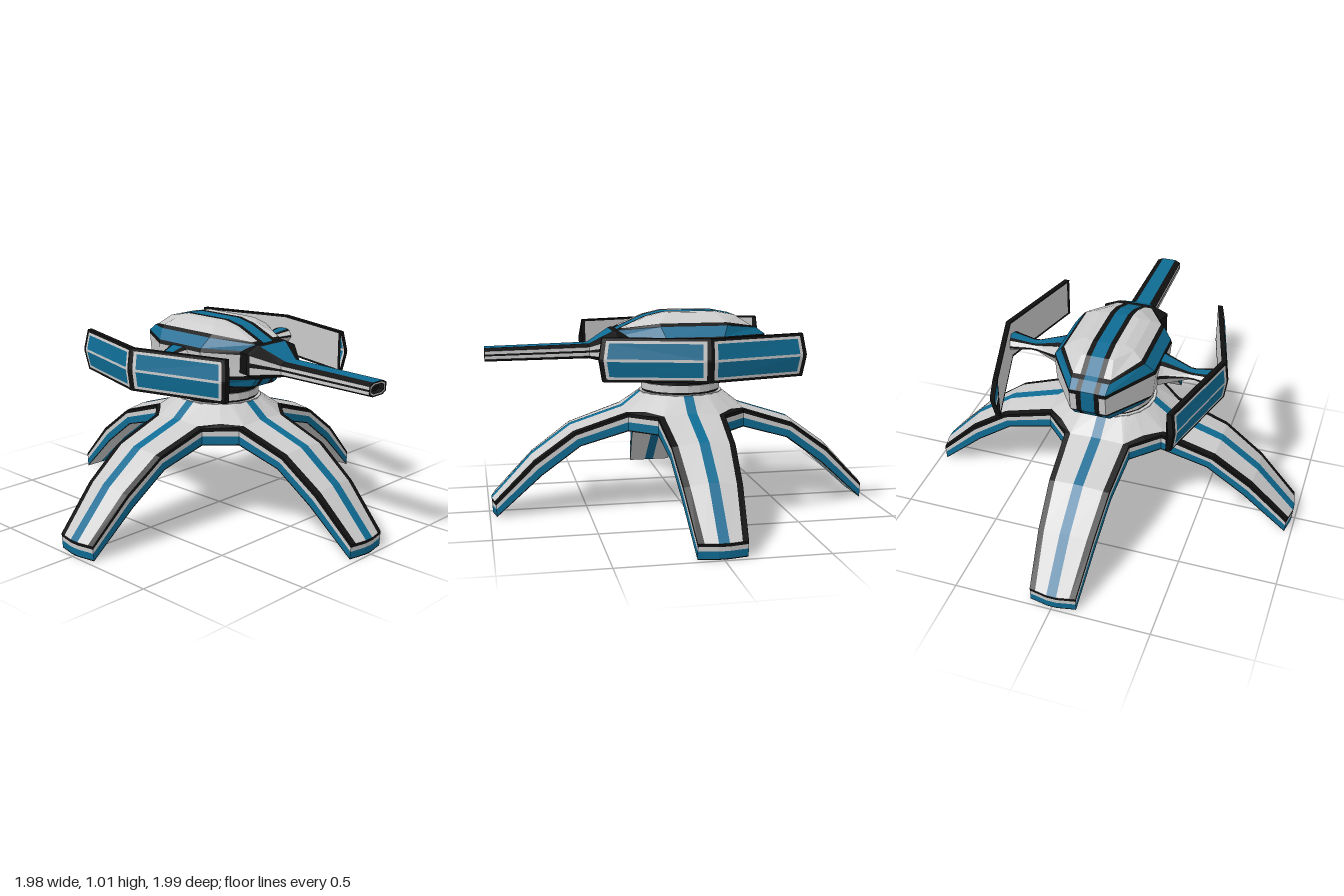
import * as THREE from 'three';

const GREY = 0xcccccc, BLUE = 0x0f6c94, BLACK = 0x111111;
const materials = {};
const mat = (c) => (materials[c] ??= new THREE.MeshStandardMaterial({ color: c, flatShading: true, side: THREE.DoubleSide }));
const lerp = THREE.MathUtils.lerp;
const colourNames = { [GREY]: 'Panels', [BLUE]: 'BlueBands', [BLACK]: 'BlackTrim' };

// Faceted surface through rows of points; colour(i, j) paints the cell between rows i, i+1 and columns j, j+1
function skin(name, rows, colour) {
  const cells = {};
  for (let i = 0; i < rows.length - 1; i++) {
    for (let j = 0; j < rows[i].length - 1; j++) {
      const a = rows[i][j], b = rows[i][j + 1], c = rows[i + 1][j + 1], d = rows[i + 1][j];
      (cells[colour(i, j)] ??= []).push(...a, ...b, ...c, ...a, ...c, ...d);
    }
  }
  const group = new THREE.Group();
  group.name = name;
  for (const key in cells) {
    const geo = new THREE.BufferGeometry();
    geo.setAttribute('position', new THREE.Float32BufferAttribute(cells[key], 3));
    geo.computeVertexNormals();
    const mesh = new THREE.Mesh(geo, mat(Number(key)));
    mesh.name = name + colourNames[key];
    group.add(mesh);
  }
  return group;
}
const close = (loop) => [...loop, loop[0]];

// Bands down the rim of the legs and hub
const BANDS = [0, 0.2, 0.48, 0.93, 1], BAND_COLOURS = [BLACK, GREY, BLUE, BLACK];

// One leg with its quarter of the hub, pointing along +x
function makeLeg() {
  const leg = new THREE.Group();
  // top radius, top edge y, crown, half width, bottom radius, bottom y, bow
  const stations = [
    [0.30, 0.52, 0.015, 0.17, 0.30, 0.43, 0.01],
    [0.57, 0.43, 0.018, 0.155, 0.54, 0.36, 0.01],
    [0.77, 0.285, 0.018, 0.14, 0.735, 0.215, 0.01],
    [0.97, 0.08, 0, 0.117, 0.965, 0.005, 0.018],
  ];
  const across = ([r, y, c, w, , , bow], t, rb, yb) =>
    [[-w, 0], [-w + 0.03, 0.3], [-0.025, 1], [0.025, 1], [w - 0.03, 0.3], [w, 0]]
      .map(([z, k]) => [lerp(r, rb, t) + bow * k, lerp(y + c * k, yb, t), z]);
  const section = (s) => {
    const [r, y, , w, rb, yb] = s;
    const down = BANDS.slice(1).map((t) => [lerp(r, rb, t), lerp(y, yb, t), w]);
    const up = [...BANDS].reverse().slice(0, -1).map((t) => [lerp(r, rb, t), lerp(y, yb, t), -w]);
    return close([...across(s, 0, rb, yb), ...down, [rb, yb, 0.025], [rb, yb, -0.025], ...up]);
  };
  const colours = [BLACK, GREY, BLUE, GREY, BLACK, ...BAND_COLOURS, GREY, BLUE, GREY, ...[...BAND_COLOURS].reverse()];
  leg.add(skin('legShell', stations.map(section), (i, j) => colours[j]));
  const tip = stations[3];
  leg.add(skin('footEnd', BANDS.map((t) => across(tip, t, tip[4], tip[5])), (i) => BAND_COLOURS[i]));

  // Hub shoulder from the turntable out to the leg root
  const root = across(stations[0], 0, 0.3, 0.43);
  const ring = [-45, -32, -26, -6.5, 6.5, 26, 32, 45].map((d) => {
    const a = THREE.MathUtils.degToRad(d);
    return [0.215 * Math.cos(a), 0.61, 0.215 * Math.sin(a)];
  });
  const inner = [[0.218, 0.535, -0.218], root[1], ...root.slice(1, 5), root[4], [0.218, 0.535, 0.218]];
  const outer = [[0.235, 0.52, -0.235], ...root, [0.235, 0.52, 0.235]];
  leg.add(skin('hubShoulder', [ring, inner], (i, j) => (j === 3 ? BLUE : GREY)));
  leg.add(skin('hubEdge', [inner, outer], (i, j) => (j === 3 ? BLUE : BLACK)));

  // Banded chamfer between neighbouring legs, and the flat underside
  const drop = (x, z) => BANDS.map((t) => [x, lerp(0.52, 0.43, t), z]);
  leg.add(skin('hubRim', [drop(0.17, 0.30), drop(0.30, 0.17)], (i, j) => BAND_COLOURS[j]));
  const under = [[0.235, 0.43, 0.235], [0.3, 0.43, 0.17], [0.3, 0.43, -0.17], [0.235, 0.43, -0.235]];
  leg.add(skin('hubUnderside', [under.map(() => [0, 0.43, 0]), under], () => GREY));
  return leg;
}

// Faceted body with a belt above and below, and a stripe around the middle
function makeBody() {
  const body = new THREE.Group();
  body.name = 'body';
  // end y, side y, side x, corner x, front z, side front z, side back z, back z
  const levels = [
    [0.68, 0.68, 0.12, 0.08, 0.18, 0.10, -0.15, -0.22],
    [0.705, 0.695, 0.18, 0.09, 0.29, 0.13, -0.19, -0.34],
    [0.72, 0.71, 0.20, 0.09, 0.31, 0.13, -0.19, -0.365],
    [0.76, 0.745, 0.235, 0.09, 0.34, 0.125, -0.18, -0.40],
    [0.78, 0.765, 0.25, 0.09, 0.35, 0.12, -0.175, -0.42],
    [0.88, 0.89, 0.262, 0.09, 0.36, 0.12, -0.17, -0.43],
    [0.90, 0.91, 0.255, 0.09, 0.355, 0.12, -0.175, -0.43],
    [0.935, 0.96, 0.215, 0.095, 0.335, 0.14, -0.2, -0.38],
    [0.945, 0.975, 0.197, 0.095, 0.315, 0.14, -0.2, -0.355],
    [1.0, 1.005, 0.15, 0.08, 0.19, 0.11, -0.17, -0.27],
    [1.02, 1.02, 0.10, 0.08, 0.1, 0.08, -0.15, -0.17],
  ];
  const half = ([ye, ys, xs, xa, zf, z1, z2, zb], front) =>
    [-xs, -xa, -0.058, -0.033, 0.033, 0.058, xa, xs].map((x, j) =>
      j % 7 === 0 ? [x, ys, front ? z1 : z2] : [x, ye, front ? zf : zb]);
  const loop = (l) => close([...half(l, true), ...half(l, false).reverse()]);
  const belts = [GREY, BLACK, BLUE, BLACK, GREY, BLACK, BLUE, BLACK, GREY, GREY];
  const stripe = (j, base) => (j % 8 === 3 ? BLUE : j % 8 === 2 || j % 8 === 4 ? BLACK : base);
  body.add(skin('bodyShell', levels.map(loop), (i, j) => stripe(j, belts[i])));
  const top = levels[levels.length - 1], bottom = levels[0];
  body.add(skin('bodyTop', [half(top, true), half(top, false)], (i, j) => stripe(j, GREY)));
  body.add(skin('bodyBottom', [half(bottom, false), half(bottom, true)], (i, j) => stripe(j, GREY)));
  return body;
}

// Flared collar and long barrel along +z
function makeGun() {
  const gun = new THREE.Group();
  gun.name = 'gun';
  const section = (z, w, yb, yt) => {
    const at = (x, v) => [x * w, lerp(yb, yt, v), z];
    return close([at(0.55, 1), at(-0.55, 1), at(-1, 0.8), at(-1, 0.57), at(-1, 0.43), at(-1, 0.2), at(-0.6, 0),
      at(0.6, 0), at(1, 0.2), at(1, 0.43), at(1, 0.57), at(1, 0.8)]);
  };
  const side = [BLACK, GREY, BLACK, GREY, BLACK];
  const colours = [BLUE, ...side, GREY, ...side];
  const rows = [section(0.27, 0.14, 0.76, 0.93), section(0.35, 0.172, 0.765, 0.935), section(0.365, 0.168, 0.768, 0.93),
    section(0.48, 0.07, 0.79, 0.865), section(1.0, 0.065, 0.787, 0.855)];
  gun.add(skin('barrel', rows, (i, j) => (i < 2 ? BLACK : colours[j])));
  const mouth = [rows[4], section(1.0, 0.056, 0.793, 0.849), section(1.0, 0.047, 0.8, 0.842), section(0.97, 0.045, 0.801, 0.841),
    section(0.97, 0, 0.82, 0.82)];
  gun.add(skin('muzzle', mouth, (i) => (i === 1 ? GREY : BLACK)));
  return gun;
}

// Arm along +x carrying a swept, two-panel wing
function makeWing() {
  const side = new THREE.Group();
  const armSection = ([x, hz, hy]) => close([[-0.7, 0.85], [-0.4, 1], [0.4, 1], [0.7, 0.85], [1, 0.15], [1, -0.15],
    [0.6, -1], [-0.6, -1], [-1, -0.15], [-1, 0.15]].map(([z, y]) => [x, 0.835 + y * hy, -0.035 + z * hz]));
  const armColours = [BLACK, BLUE, BLACK, GREY, BLACK, GREY, GREY, GREY, BLACK, GREY];
  const armRows = [[0.19, 0.13, 0.08], [0.28, 0.075, 0.06], [0.40, 0.042, 0.02], [0.43, 0.042, 0.018], [0.56, 0.07, 0.035]];
  side.add(skin('arm', armRows.map(armSection), (i, j) => armColours[j]));

  const us = [0, 0.035, 0.07, 0.93, 0.96, 1];
  const outer = [-1, -0.88, -0.76, -0.06, 0.06, 0.76, 0.88, 1], inner = [1, 0.9, -0.9, -1];
  const at = (u, v, inset) => [lerp(0.578, 0.44, u) + 0.015 * (1 - Math.abs(v)) - inset, 0.835 + 0.105 * v,
    u * (0.51 - 0.018 * Math.abs(v))];
  const rows = us.map((u) => close([...outer.map((v) => at(u, v, 0)), ...inner.map((v) => at(u, v, 0.026))]));
  const colours = [BLACK, GREY, BLUE, GREY, BLUE, GREY, BLACK, BLACK, BLACK, GREY, BLACK, BLACK];
  const paint = (i, j) => {
    if (j > 6) return i === 4 ? BLACK : colours[j];
    if (i === 0 || i === 4) return BLACK;
    return (i === 1 || i === 3) && colours[j] === BLUE ? GREY : colours[j];
  };
  const end = [outer.map((v) => at(1, v, 0)), outer.map((v) => at(1, v, 0.026))];
  for (const s of [1, -1]) {
    const panel = new THREE.Group();
    panel.name = s > 0 ? 'frontWingPanel' : 'backWingPanel';
    panel.add(skin('wingPanel', rows, paint), skin('wingEnd', end, () => BLACK));
    panel.position.z = -0.03;
    panel.scale.z = s;
    side.add(panel);
  }
  return side;
}

export function createModel() {
  const model = new THREE.Group();
  model.name = 'walkerTurret';
  ['leftLeg', 'backLeg', 'rightLeg', 'frontLeg'].forEach((name, i) => {
    const leg = makeLeg();
    leg.name = name;
    leg.rotation.y = (i * Math.PI) / 2;
    model.add(leg);
  });
  // Turntable rings: radius, bottom, top, colour
  for (const [r, y0, y1, c] of [[0.217, 0.595, 0.612, GREY], [0.2, 0.61, 0.625, BLACK], [0.205, 0.622, 0.658, GREY], [0.2, 0.657, 0.672, BLACK], [0.1, 0.66, 0.7, BLACK]]) {
    const ring = new THREE.Mesh(new THREE.CylinderGeometry(r, r, y1 - y0, 20), mat(c));
    ring.name = 'turntableRing';
    ring.position.y = (y0 + y1) / 2;
    model.add(ring);
  }
  model.add(makeBody(), makeGun());
  for (const s of [1, -1]) {
    const wing = makeWing();
    wing.name = s > 0 ? 'leftWing' : 'rightWing';
    wing.scale.x = s;
    model.add(wing);
  }
  return model;
}
